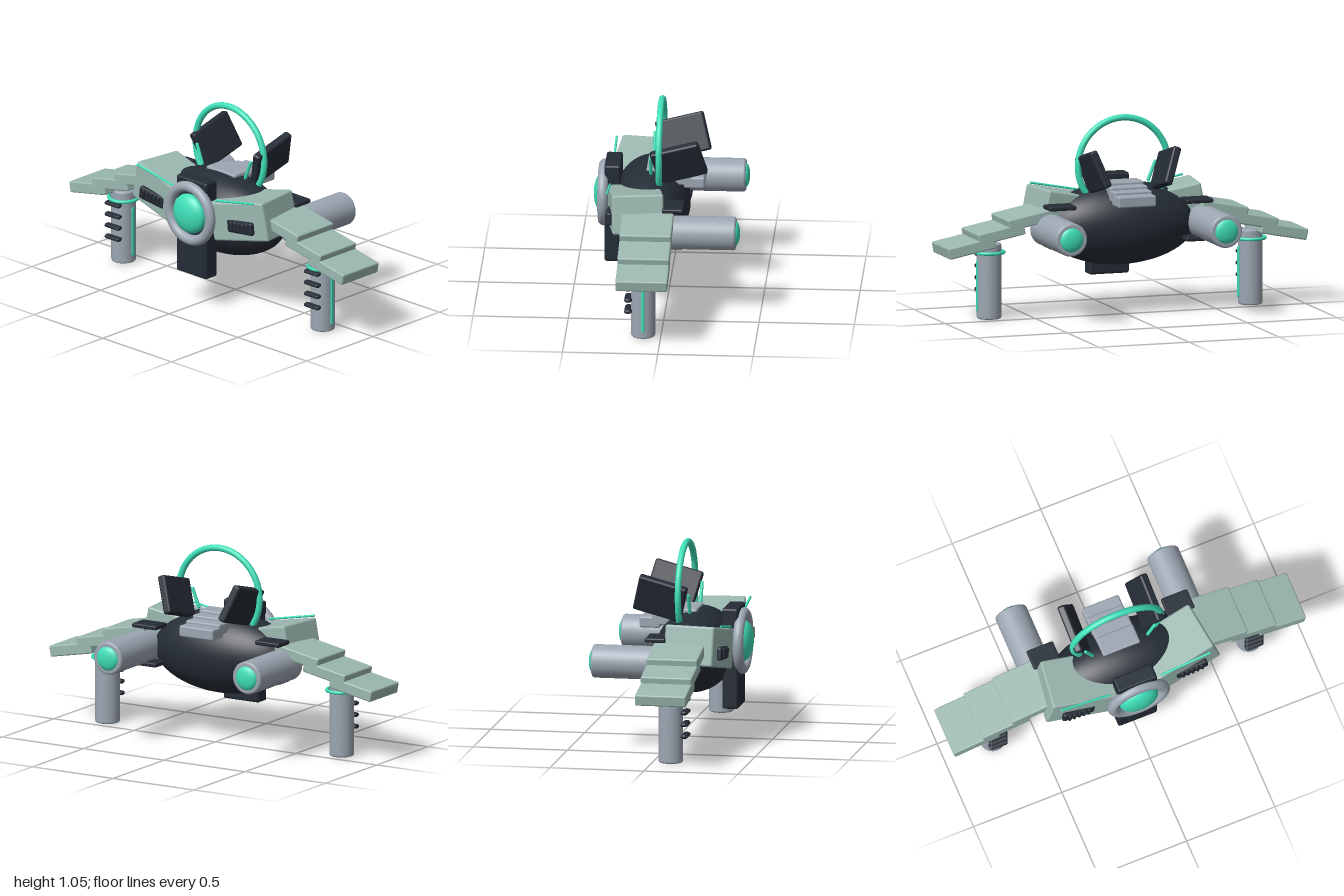
import * as THREE from 'three';
import { RoundedBoxGeometry } from 'three/addons/geometries/RoundedBoxGeometry.js';

const mat = (color) => new THREE.MeshStandardMaterial({ color });

export function createModel() {
  const model = new THREE.Group();
  const dark = mat(0x252c36), grey = mat(0x9ca6b2), sage = mat(0x9bb8b0), green = mat(0x3edfb8);

  const add = (name, geometry, material, pos, rot = [0, 0, 0], scale = [1, 1, 1]) => {
    const mesh = new THREE.Mesh(geometry, material);
    mesh.name = name;
    mesh.position.set(...pos);
    mesh.rotation.set(...rot);
    mesh.scale.set(...scale);
    model.add(mesh);
    return mesh;
  };
  const box = (w, h, d, r = 0.01) => new RoundedBoxGeometry(w, h, d, 2, r);
  const ball = new THREE.SphereGeometry(1, 40, 28);

  // Cylinder with softly rounded rims, along y
  const barrel = (r, h, e = 0.01) => new THREE.LatheGeometry([
    [0, -h / 2], [r - e, -h / 2], [r - e * 0.3, -h / 2 + e * 0.3], [r, -h / 2 + e],
    [r, h / 2 - e], [r - e * 0.3, h / 2 - e * 0.3], [r - e, h / 2], [0, h / 2],
  ].map(([x, y]) => new THREE.Vector2(x, y)), 36);

  // Thin glowing rod between two points
  const rod = (name, a, b, r) => {
    const from = new THREE.Vector3(...a), to = new THREE.Vector3(...b);
    const mesh = add(name, new THREE.CapsuleGeometry(r, from.distanceTo(to), 6, 12), green,
      from.clone().add(to).multiplyScalar(0.5).toArray());
    mesh.quaternion.setFromUnitVectors(new THREE.Vector3(0, 1, 0), to.sub(from).normalize());
  };

  // Hull and front keel
  add('hull', ball, dark, [0, 0.47, 0.095], [0, 0, 0], [0.42, 0.22, 0.205]);
  add('keel', box(0.22, 0.535, 0.085, 0.012), dark, [0, 0.44, 0.293]);

  // Front lamp
  add('lampRing', new THREE.TorusGeometry(0.147, 0.028, 20, 56), grey, [0, 0.52, 0.343]);
  add('lampLens', ball, green, [0, 0.52, 0.345], [0, 0, 0], [0.108, 0.108, 0.052]);

  // Overhead hoop
  add('hoop', new THREE.TorusGeometry(0.249, 0.017, 16, 64), green, [0, 0.785, 0.042]);

  // Stepped back deck
  for (let i = 0; i < 4; i++) {
    add('backDeckStep', box(0.21, 0.06, 0.11), grey, [0, 0.62 + i * 0.016, -0.135 + i * 0.065]);
  }

  for (const s of [1, -1]) {
    // Shoulder plate with trim rod and vent
    add('shoulderPlate', box(0.36, 0.21, 0.27, 0.012), sage, [s * 0.283, 0.535, 0.16], [0, s * 0.13, s * 0.2]);
    rod('plateTrim', [s * 0.15, 0.62, 0.303], [s * 0.42, 0.671, 0.303], 0.006);
    const vent = new THREE.Group();
    vent.name = 'vent';
    vent.position.set(s * 0.32, 0.512, 0.292);
    vent.rotation.z = s * 0.12;
    const backing = new THREE.Mesh(box(0.18, 0.07, 0.03, 0.012), dark);
    backing.name = 'ventBacking';
    vent.add(backing);
    for (let i = -2; i <= 2; i++) {
      const slat = new THREE.Mesh(new THREE.CapsuleGeometry(0.009, 0.04, 4, 10), dark);
      slat.name = 'ventSlat';
      slat.position.set(i * 0.027, 0, 0.015);
      vent.add(slat);
    }
    model.add(vent);

    // Raised side flap and its light strip
    add('flap', box(0.045, 0.207, 0.262, 0.012), dark, [s * 0.2, 0.77, -0.06], [0.26, 0, -s * 0.35]);
    rod('flapLight', [s * 0.157, 0.69, 0.088], [s * 0.195, 0.785, 0.088], 0.009);

    // Overlapping wing slats
    [[0.67, 0.535], [0.835, 0.468], [1.0, 0.402]].forEach(([x, y]) => {
      add('wingSlat', box(0.26, 0.06, 0.272, 0.008), sage, [s * (x - 0.133), y - 0.005, 0.087], [0, 0, -s * 0.19]);
    });

    // Stacked brackets behind the shoulder
    [[0.38, 0.59], [0.42, 0.485], [0.38, 0.39]].forEach(([x, y]) => {
      add('bracket', box(0.15, 0.024, 0.11, 0.008), dark, [s * x, y, -0.043]);
    });

    // Rear thruster
    add('thruster', barrel(0.088, 0.42, 0.012), grey, [s * 0.43, 0.468, -0.166], [Math.PI / 2, 0, 0]);
    add('thrusterGlow', ball, green, [s * 0.43, 0.468, -0.372], [0, 0, 0], [0.064, 0.064, 0.024]);

    // Leg with collar, grip bars and a light strip facing +x
    add('leg', barrel(0.065, 0.4), grey, [s * 0.725, 0.2, 0.093]);
    add('legCollar', new THREE.TorusGeometry(0.078, 0.009, 12, 40), green, [s * 0.725, 0.352, 0.093], [Math.PI / 2, 0, 0]);
    for (let i = 0; i < 4; i++) {
      add('gripBar', new THREE.CapsuleGeometry(0.012, 0.08, 6, 14), dark,
        [s * 0.725, 0.145 + i * 0.0625, 0.171], [0, 0, Math.PI / 2], [1, 1, 1.7]);
    }
    add('legLight', box(0.012, 0.27, 0.018, 0.005), green, [s * 0.725 + 0.065, 0.175, 0.092]);
  }
  return model;
}
